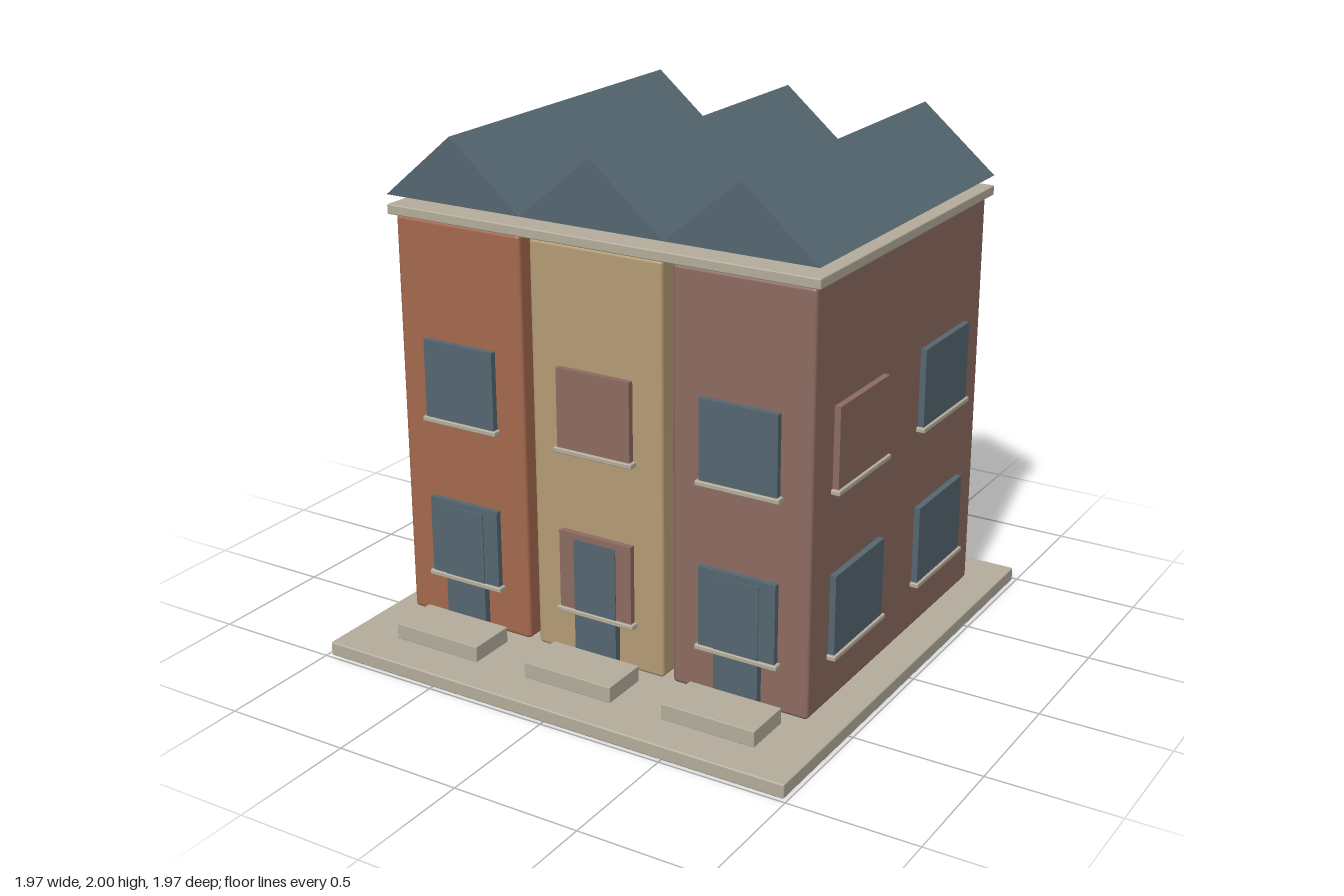
import * as THREE from 'three';
import { RoundedBoxGeometry } from 'three/addons/geometries/RoundedBoxGeometry.js';

const material = (name, color) => {
  const m = new THREE.MeshStandardMaterial({ color });
  m.name = name;
  return m;
};

export function createModel() {
  const model = new THREE.Group();
  model.name = 'rowHouses';
  const rust = material('rust brick', 0xa5694e);
  const tan = material('tan plaster', 0xb59d75);
  const brown = material('brown brick', 0x8d6b61);
  const slate = material('slate blue', 0x556771);
  const stone = material('pale stone', 0xb5ad9c);

  // Box given by its min and max on each axis, optionally with rounded edges
  const box = (parent, name, mat, [x0, x1], [y0, y1], [z0, z1], radius = 0) => {
    const size = [x1 - x0, y1 - y0, z1 - z0];
    const geo = radius ? new RoundedBoxGeometry(...size, 2, radius) : new THREE.BoxGeometry(...size);
    const mesh = new THREE.Mesh(geo, mat);
    mesh.name = name;
    mesh.position.set((x0 + x1) / 2, (y0 + y1) / 2, (z0 + z1) / 2);
    parent.add(mesh);
    return mesh;
  };

  const front = 0.61, back = -0.76, half = 0.277, pitch = 0.595;
  const floors = [[0.27, 0.585], [0.905, 1.217]];

  // Pane and sill, built facing +z around the wall plane, then turned
  const addWindow = (parent, mat, width, [y0, y1], x, z, turn) => {
    const g = new THREE.Group();
    g.name = 'window';
    box(g, 'pane', mat, [-width / 2, width / 2], [y0, y1], [-0.01, 0.024]);
    box(g, 'sill', stone, [-width / 2 - 0.012, width / 2 + 0.012], [y0 - 0.011, y0 + 0.008], [-0.01, 0.034], 0.004);
    g.position.set(x, 0, z);
    g.rotation.y = turn;
    parent.add(g);
  };

  // Paving slab
  box(model, 'base', stone, [-0.985, 0.985], [0, 0.055], [-0.985, 0.985], 0.006);

  // Pane colours: [lower, upper] per wall; sides as [front pair, back pair]
  const houses = [
    { name: 'leftHouse', wall: rust, face: [slate, slate],
      minus: [[slate, slate], [brown, slate]], plus: [[brown, slate], [slate, slate]] },
    { name: 'middleHouse', wall: tan, face: [brown, brown],
      minus: [[brown, slate], [slate, slate]], plus: [[slate, slate], [slate, slate]] },
    { name: 'rightHouse', wall: brown, face: [slate, slate],
      minus: [[slate, slate], [slate, slate]], plus: [[slate, brown], [slate, slate]] },
  ];

  // Gable roof profile
  const gable = new THREE.Shape([
    new THREE.Vector2(-0.297, 1.75), new THREE.Vector2(0.297, 1.75), new THREE.Vector2(0, 2),
  ]);
  const roofGeo = new THREE.ExtrudeGeometry(gable, { depth: 1.413, bevelEnabled: false });
  roofGeo.translate(0, 0, -0.783);

  houses.forEach((spec, i) => {
    const house = new THREE.Group();
    house.name = spec.name;
    house.position.x = (i - 1) * pitch;
    model.add(house);

    box(house, 'walls', spec.wall, [-half, half], [0.08, 1.673], [back, front], 0.015);
    box(house, 'door', slate, [-0.09, 0.09], [0.105, 0.563], [front - 0.01, 0.638]);
    box(house, 'doorstep', stone, [-0.188, 0.188], [0.057, 0.12], [0.635, 0.83], 0.003);

    floors.forEach((span, f) => {
      addWindow(house, spec.face[f], 0.31, span, 0, front, 0);
      addWindow(house, slate, 0.31, span, 0, back, Math.PI);
      [0.27, -0.415].forEach((z, k) => {
        addWindow(house, spec.plus[k][f], 0.38, span, half, z, Math.PI / 2);
        addWindow(house, spec.minus[k][f], 0.38, span, -half, z, -Math.PI / 2);
      });
    });

    const roof = new THREE.Mesh(roofGeo, slate);
    roof.name = 'gableRoof';
    house.add(roof);
  });

  // Shared cornice under the roofs
  box(model, 'cornice', stone, [-0.895, 0.895], [1.675, 1.713], [-0.782, 0.63], 0.005);
  return model;
}
